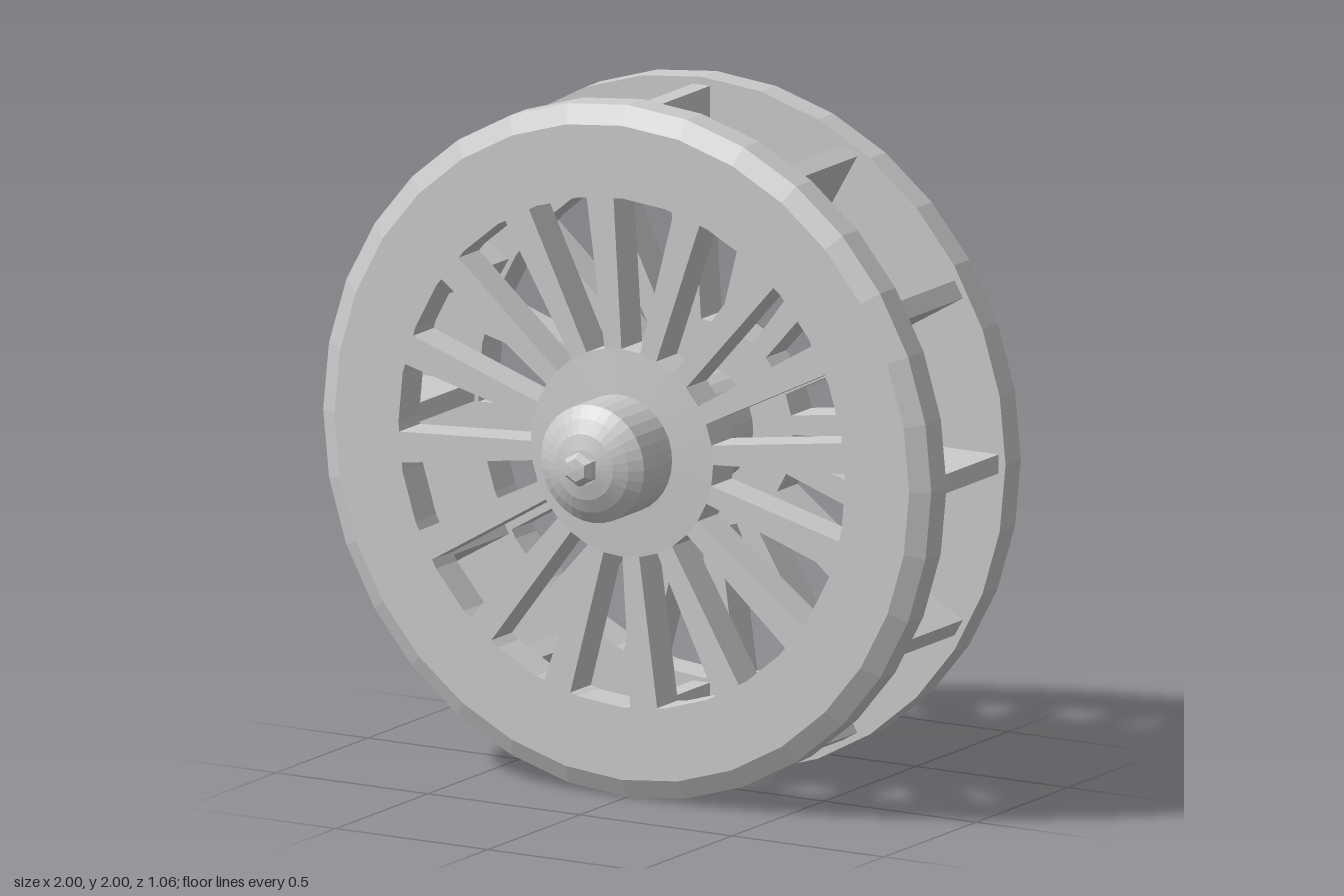
import * as THREE from 'three';

const material = new THREE.MeshStandardMaterial({ color: 0xcccccc, flatShading: true });

function part(name, geometry) {
  const mesh = new THREE.Mesh(geometry, material);
  mesh.name = name;
  return mesh;
}

// Turned part around the z axis; profile is [radius, z] pairs
function turned(name, profile, sides) {
  const points = profile.map(([r, z]) => new THREE.Vector2(r, z));
  return part(name, new THREE.LatheGeometry(points, sides).rotateX(Math.PI / 2));
}

const INNER = 0.16, OUTER = 0.272;   // z range of one wheel side
const SPOKES = 16, PADDLES = 12;

// Spoke widening from the hub to the rim
function spokeGeometry() {
  const shape = new THREE.Shape([
    new THREE.Vector2(0.28, -0.027), new THREE.Vector2(0.745, -0.045),
    new THREE.Vector2(0.745, 0.045), new THREE.Vector2(0.28, 0.027),
  ]);
  return new THREE.ExtrudeGeometry(shape, { depth: OUTER - INNER, bevelEnabled: false })
    .translate(0, 0, INNER);
}

// One side: chamfered rim, hub plate and spokes
function wheelSide(name, offset) {
  const side = new THREE.Group();
  side.name = name;
  side.add(turned('rim', [
    [0.735, INNER], [1, INNER], [1, 0.243], [0.945, OUTER], [0.735, OUTER], [0.735, INNER],
  ], 32));
  side.add(turned('hubPlate', [
    [0.15, INNER], [0.3, INNER], [0.3, OUTER], [0.17, 0.28], [0.15, 0.28],
  ], 32));
  const geometry = spokeGeometry();
  for (let i = 0; i < SPOKES; i++) {
    const spoke = part('spoke', geometry);
    spoke.rotation.z = (i / SPOKES) * Math.PI * 2 + offset;
    side.add(spoke);
  }
  return side;
}

export function createModel() {
  const model = new THREE.Group();
  model.name = 'paddleWheel';
  const wheel = new THREE.Group();
  wheel.name = 'wheel';
  wheel.position.y = 1;
  model.add(wheel);

  // Both sides, with the spokes lined up front to back
  const offset = Math.PI / 32;
  const back = wheelSide('backSide', -offset);
  back.rotation.y = Math.PI;
  wheel.add(wheelSide('frontSide', offset), back);

  // Radial paddle boards between the rims
  const board = new THREE.BoxGeometry(0.23, 0.055, 2 * INNER + 0.004).translate(0.862, 0, 0);
  for (let i = 0; i < PADDLES; i++) {
    const paddle = part('paddle', board);
    paddle.rotation.z = (i / PADDLES) * Math.PI * 2;
    wheel.add(paddle);
  }

  // Axle with domed ends
  const dome = [[0.17, 0.432], [0.135, 0.458], [0.095, 0.478], [0.05, 0.489], [0, 0.491]];
  const mirrored = dome.map(([r, z]) => [r, -z]).reverse();
  wheel.add(turned('axle', [...mirrored, ...dome], 32));

  // Small faceted nut on each end
  for (const turn of [0, Math.PI]) {
    const nut = turned('axleNut', [[0.053, 0.48], [0.05, 0.508], [0.034, 0.525], [0, 0.528]], 6);
    nut.rotation.y = turn;
    wheel.add(nut);
  }
  return model;
}
